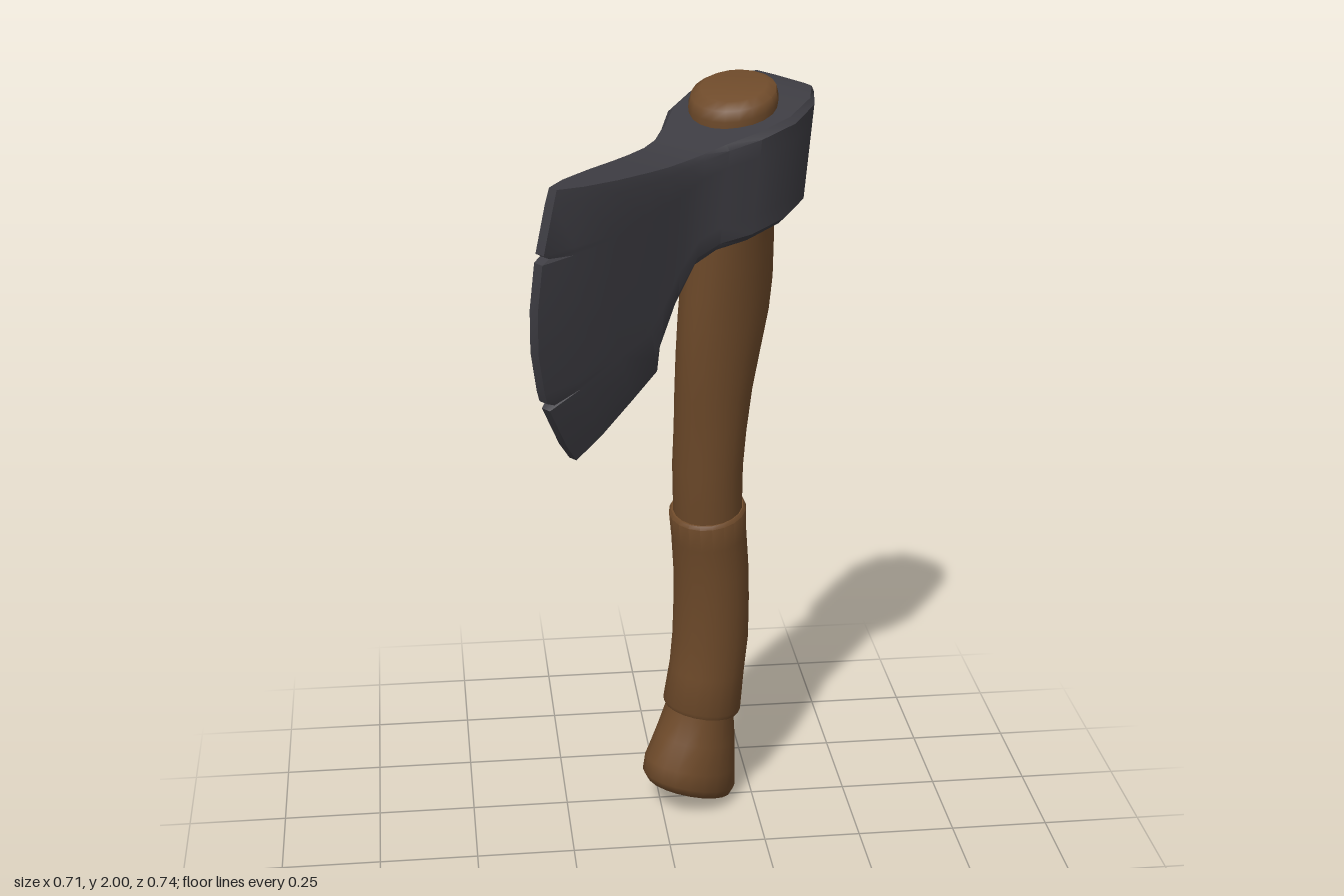
import * as THREE from 'three';
import { toCreasedNormals } from 'three/addons/utils/BufferGeometryUtils.js';

// Skin a row of closed rings, closing both ends with strips
function loft(rings, crease) {
  const n = rings[0].length, last = (rings.length - 1) * n, index = [];
  for (let i = 0; i < rings.length - 1; i++) {
    for (let j = 0; j < n; j++) {
      const a = i * n + j, b = i * n + (j + 1) % n;
      index.push(a, a + n, b, b, a + n, b + n);
    }
  }
  for (let j = 0; j < n / 2 - 1; j++) {
    const k = n - 1 - j;
    index.push(j, j + 1, k - 1, j, k - 1, k);
    index.push(last + j, last + k - 1, last + j + 1, last + j, last + k, last + k - 1);
  }
  const g = new THREE.BufferGeometry();
  g.setAttribute('position', new THREE.Float32BufferAttribute(rings.flat(2), 3));
  g.setIndex(index);
  return toCreasedNormals(g, crease);
}

// Oval wooden section: height, centre x, centre z, radius x, radius z, slope along x
function oval([y, cx, cz, rx, rz, slope], sides = 20) {
  return Array.from({ length: sides }, (_, j) => {
    const a = (j + 0.5) / sides * Math.PI * 2;
    const dx = rx * Math.cos(a), dz = rz * Math.sin(a);
    return [cx + dx, y + slope * dx + 0.086 * dz, cz + dz];
  });
}

// Positions down the head from its top (0) to its bottom (1)
const ROWS = [0, 0.05, 0.21, 0.225, 0.24, 0.4, 0.55, 0.7, 0.74, 0.755, 0.77, 0.93, 1];
const NICKS = [3, 9];

// Head section: top x, top y, bottom x, bottom y, half thickness, forward bulge
function headRing([tx, ty, bx, by, half, bulge = 0], isEdge) {
  const side = sign => ROWS.map((s, i) => {
    const rim = s === 0 || s === 1 ? 0.9 : 1;
    const nick = isEdge && NICKS.includes(i) ? 0.02 : 0;
    const x = tx + (bx - tx) * s + 4 * s * (1 - s) * bulge * (0.8 + 0.4 * s) - nick;
    const y = ty + (by - ty) * s;
    const dz = sign * half * rim;
    return [x, y + 0.09 * dz, -0.05 - 0.11 * (y - 1.87) + dz];
  });
  return [...side(-1), ...side(1).reverse()];
}

export function createModel() {
  const wood = new THREE.MeshStandardMaterial({ color: 0x6e4a2a });
  wood.name = 'brownWood';
  const steel = new THREE.MeshStandardMaterial({ color: 0x3d3c42 });
  steel.name = 'darkSteel';

  const axe = new THREE.Group();
  axe.name = 'axe';
  // The blade points along local +x, turned to the front right corner
  axe.rotation.y = -Math.PI * 0.75;
  const add = (name, geometry, material) => {
    const mesh = new THREE.Mesh(geometry, material);
    mesh.name = name;
    axe.add(mesh);
  };

  // Pommel with a slanted base
  add('pommel', loft([
    [0.035, -0.221, 0.111, 0.09, 0.075, 0.35],
    [0.045, -0.221, 0.111, 0.125, 0.1, 0.35],
    [0.07, -0.221, 0.111, 0.14, 0.112, 0.33],
    [0.12, -0.223, 0.109, 0.134, 0.11, 0.28],
    [0.2, -0.235, 0.1, 0.112, 0.1, 0.2],
    [0.27, -0.243, 0.094, 0.094, 0.089, 0.15],
    [0.32, -0.247, 0.088, 0.088, 0.087, 0.1],
  ].map(r => oval(r)), 0.9), wood);

  // Raised grip sleeve
  add('grip', loft([
    [0.282, -0.245, 0.089, 0.098, 0.098, 0.15],
    [0.295, -0.246, 0.088, 0.104, 0.102, 0.14],
    [0.4, -0.253, 0.078, 0.1, 0.098, 0.06],
    [0.5, -0.256, 0.069, 0.101, 0.099, 0],
    [0.6, -0.251, 0.063, 0.1, 0.098, -0.06],
    [0.7, -0.242, 0.058, 0.098, 0.097, -0.11],
    [0.8, -0.227, 0.054, 0.097, 0.096, -0.17],
    [0.868, -0.217, 0.051, 0.099, 0.098, -0.2],
    [0.876, -0.216, 0.051, 0.093, 0.092, -0.2],
  ].map(r => oval(r)), 0.7), wood);

  // Shaft with a swelling under the head, running up through the eye
  add('shaft', loft([
    [0.8, -0.227, 0.054, 0.089, 0.088, -0.15],
    [0.88, -0.215, 0.049, 0.089, 0.088, -0.12],
    [1.0, -0.205, 0.042, 0.09, 0.09, -0.05],
    [1.1, -0.202, 0.032, 0.095, 0.09, 0],
    [1.2, -0.202, 0.023, 0.107, 0.09, 0],
    [1.3, -0.208, 0.014, 0.122, 0.092, 0],
    [1.4, -0.218, 0.006, 0.137, 0.094, -0.05],
    [1.48, -0.22, -0.001, 0.139, 0.095, -0.1],
    [1.57, -0.214, -0.01, 0.132, 0.096, -0.15],
    [1.66, -0.205, -0.02, 0.123, 0.096, -0.2],
    [1.78, -0.19, -0.038, 0.105, 0.098, -0.24],
    [1.9, -0.174, -0.05, 0.1, 0.1, -0.25],
    [1.945, -0.172, -0.053, 0.107, 0.106, -0.25],
    [1.968, -0.172, -0.054, 0.101, 0.1, -0.25],
    [1.98, -0.172, -0.054, 0.078, 0.078, -0.25],
  ].map(r => oval(r)), 0.9), wood);

  // Head: rounded eye, narrow neck, bearded blade with a nicked edge
  const sections = [
    [-0.387, 1.958, -0.387, 1.715, 0.045],
    [-0.362, 1.965, -0.362, 1.708, 0.09],
    [-0.3, 1.957, -0.3, 1.695, 0.136],
    [-0.2, 1.935, -0.2, 1.675, 0.156],
    [-0.1, 1.912, -0.1, 1.652, 0.138],
    [-0.03, 1.89, -0.03, 1.635, 0.1],
    [0.03, 1.873, 0.02, 1.605, 0.077],
    [0.08, 1.866, 0.07, 1.52, 0.068],
    [0.14, 1.863, 0.11, 1.42, 0.064],
    [0.2, 1.863, 0.106, 1.355, 0.059, 0.03],
    [0.3, 1.865, 0.18, 1.3, 0.05, 0.05],
    [0.4, 1.868, 0.265, 1.232, 0.034, 0.08],
    [0.467, 1.87, 0.329, 1.18, 0.012, 0.1],
  ];
  add('axeHead', loft(sections.map((s, i) => headRing(s, i === sections.length - 1)), 0.6), steel);

  const model = new THREE.Group();
  model.name = 'model';
  model.add(axe);
  return model;
}
